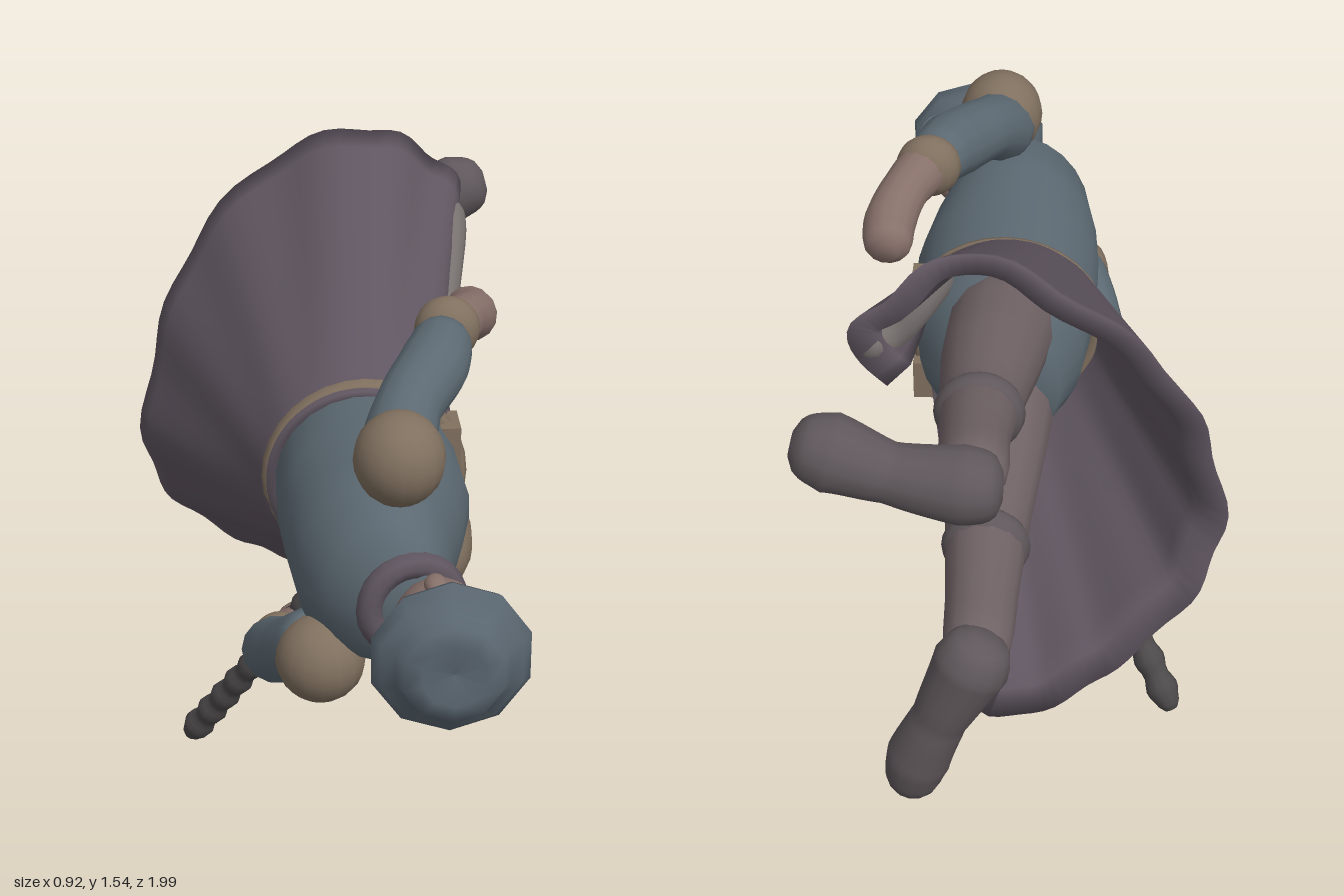
import * as THREE from 'three';

const V = (a) => new THREE.Vector3(...a);
const COL = { coat: 0x5f5560, lapel: 0x77716f, shirt: 0x5c6972, tan: 0x80705f, skin: 0x87706a, trouser: 0x6f6265, boot: 0x5f575b, stick: 0x4d4a4b, hat: 0x5a6670 };

// Closed skin over a list of equal-length rings, capped at both ends, turned outward.
function skin(rings, fanCaps = true) {
  const n = rings[0].length, pos = [], idx = [];
  rings.forEach((r) => r.forEach((p) => pos.push(p.x, p.y, p.z)));
  for (let i = 0; i < rings.length - 1; i++) for (let j = 0; j < n; j++) {
    const a = i * n + j, b = i * n + (j + 1) % n;
    idx.push(a, b, a + n, b, b + n, a + n);
  }
  [0, rings.length - 1].forEach((k, end) => {
    const o = k * n;
    if (fanCaps) {
      const c = rings[k].reduce((s, p) => s.add(p), new THREE.Vector3()).divideScalar(n);
      const ci = pos.push(c.x, c.y, c.z) / 3 - 1;
      for (let j = 0; j < n; j++) {
        const a = o + j, b = o + (j + 1) % n;
        end ? idx.push(a, b, ci) : idx.push(b, a, ci);
      }
    } else {
      // strip cap between an outer run and the reversed inner run
      for (let j = 0; j < n / 2 - 1; j++) {
        const a = o + j, b = a + 1, c = o + n - 1 - j, d = c - 1;
        end ? idx.push(a, b, c, b, d, c) : idx.push(b, a, c, d, b, c);
      }
    }
  });
  // signed volume decides the winding
  let vol = 0;
  const P = (i) => new THREE.Vector3(pos[3 * i], pos[3 * i + 1], pos[3 * i + 2]);
  for (let i = 0; i < idx.length; i += 3) vol += P(idx[i]).dot(P(idx[i + 1]).cross(P(idx[i + 2])));
  if (vol < 0) for (let i = 0; i < idx.length; i += 3) [idx[i], idx[i + 1]] = [idx[i + 1], idx[i]];
  const g = new THREE.BufferGeometry();
  g.setAttribute('position', new THREE.Float32BufferAttribute(pos, 3));
  g.setIndex(idx);
  g.computeVertexNormals();
  return g;
}

// Rounded limb through [x, y, z, radius] stations.
function limb(st, { steps = 8, sides = 14, bump = 0, bumps = 0 } = {}) {
  const curve = new THREE.CatmullRomCurve3(st.map((s) => V(s.slice(0, 3))));
  const N = (st.length - 1) * steps, f = curve.computeFrenetFrames(N), rings = [];
  for (let i = 0; i <= N; i++) {
    const u = curve.getUtoTmapping(i / N) * (st.length - 1);
    const k = Math.min(Math.floor(u), st.length - 2);
    let r = THREE.MathUtils.lerp(st[k][3], st[k + 1][3], u - k);
    r *= 1 + bump * Math.sin((i / N) * bumps * Math.PI * 2);
    const e = Math.min(i, N - i) / 3;
    if (e < 1) r *= 0.45 + 0.55 * Math.sqrt(1 - (1 - e) ** 2);
    const c = curve.getPointAt(i / N);
    rings.push(Array.from({ length: sides }, (_, j) => {
      const a = (j / sides) * Math.PI * 2;
      return c.clone().addScaledVector(f.normals[i], r * Math.cos(a)).addScaledVector(f.binormals[i], r * Math.sin(a));
    }));
  }
  return skin(rings);
}

// Elliptical sections stacked along z: [z, cx, cy, rx, ry], leaning by tilt.
function stack(secs, tilt = 0, sides = 24) {
  return skin(secs.map(([z, cx, cy, rx, ry]) => Array.from({ length: sides }, (_, j) => {
    const a = (j / sides) * Math.PI * 2, p = new THREE.Vector2(rx * Math.cos(a), ry * Math.sin(a));
    p.rotateAround(new THREE.Vector2(), tilt);
    return new THREE.Vector3(cx + p.x, cy + p.y, z);
  })));
}

// Flared long coat skirt, open at the front (+x), with thick edges.
function coatSkirt() {
  const hem = new THREE.CatmullRomCurve3([
    [0.28, 1.25, -0.6], [0.36, 1.38, -0.62], [0.27, 1.49, -0.61], [0.12, 1.57, -0.56], [-0.09, 1.5, -0.6],
    [-0.3, 1.3, -0.57], [-0.41, 1.05, -0.51], [-0.45, 0.78, -0.48], [-0.38, 0.6, -0.52], [-0.22, 0.45, -0.58],
    [-0.08, 0.36, -0.62], [0.07, 0.34, -0.64], [0.12, 0.46, -0.6]].map(V));
  const M = 72, rings = [];
  for (let i = 0; i <= 14; i++) {
    const t = i / 14, outer = [];
    for (let j = 0; j <= M; j++) {
      const u = j / M, a = THREE.MathUtils.degToRad(15 + 320 * u);
      const w = new THREE.Vector3(0.06 + 0.22 * Math.cos(a), 0.94 + 0.22 * Math.sin(a), 0.1);
      const p = w.lerp(hem.getPoint(u), t);
      const fold = 0.008 * t * Math.sin(u * Math.PI * 22);
      outer.push(p.add(new THREE.Vector3(Math.cos(a) * fold, Math.sin(a) * fold, 0)));
    }
    const th = 0.03 + 0.035 * t;
    const inner = outer.map((p, j) => {
      const d = outer[Math.min(j + 2, M)].clone().sub(outer[Math.max(j - 2, 0)]).setZ(0).normalize();
      return new THREE.Vector3(p.x - d.y * th, p.y + d.x * th, p.z + 0.02 * t);
    });
    rings.push([...outer, ...inner.reverse()]);
  }
  return skin(rings, false);
}

export function createModel() {
  const model = new THREE.Group();
  const add = (name, geo, color, p, s, r) => {
    const m = new THREE.Mesh(geo, new THREE.MeshStandardMaterial({ color }));
    m.name = name;
    if (p) m.position.set(...p);
    if (s) m.scale.set(...s);
    if (r) m.rotation.set(...r);
    model.add(m);
    return m;
  };
  const ball = () => new THREE.SphereGeometry(1, 16, 12);

  // body, lying along z with the chest towards +x
  add('torso', stack([
    [0.7, 0.11, 0.92, 0.08, 0.09], [0.64, 0.07, 0.93, 0.13, 0.17], [0.55, 0.05, 0.94, 0.17, 0.22], [0.42, 0.06, 0.95, 0.2, 0.21],
    [0.28, 0.07, 0.95, 0.22, 0.2], [0.1, 0.07, 0.94, 0.215, 0.21], [-0.06, 0.07, 0.94, 0.19, 0.21], [-0.16, 0.05, 0.94, 0.12, 0.17]], -0.12), COL.shirt);
  add('vestPanel', ball(), COL.tan, [0.2, 0.86, 0.24], [0.1, 0.11, 0.2]);
  add('belt', new THREE.TorusGeometry(0.215, 0.025, 8, 32), COL.tan, [0.065, 0.94, 0.07]);
  for (const y of [0.8, 1.02]) add('beltPouch', new THREE.BoxGeometry(0.07, 0.1, 0.1), COL.tan, [0.25, y, 0.07]);
  add('collar', new THREE.TorusGeometry(0.095, 0.03, 8, 24), COL.coat, [0.12, 0.92, 0.68], null, [0, 0.2, 0]);

  // coat
  add('coatSkirt', coatSkirt(), COL.coat);
  add('coatLapel', limb([[0.2, 1.08, 0.08, 0.035], [0.27, 1.2, -0.28, 0.045], [0.32, 1.36, -0.6, 0.06]]), COL.lapel);

  // head and face
  add('head', ball(), COL.skin, [0.17, 0.92, 0.78], [0.1, 0.1, 0.12]);
  add('nose', ball(), COL.skin, [0.275, 0.92, 0.78], [0.025, 0.02, 0.035]);
  add('chin', ball(), COL.skin, [0.23, 0.92, 0.71], [0.045, 0.055, 0.035]);
  for (const s of [-1, 1]) {
    add('ear', ball(), COL.skin, [0.16, 0.92 + s * 0.1, 0.78], [0.025, 0.02, 0.035]);
    add('eye', ball(), COL.boot, [0.255, 0.92 + s * 0.04, 0.815], [0.015, 0.02, 0.012]);
  }

  // faceted hat with brim and peak
  const hat = new THREE.LatheGeometry([[0, 0.83], [0.11, 0.83], [0.12, 0.88], [0.165, 0.89], [0.175, 0.915], [0.155, 0.94], [0.125, 0.955], [0.11, 0.99], [0.07, 1], [0, 0.985]]
    .map(([r, y]) => new THREE.Vector2(r, y)), 10);
  add('hat', hat, COL.hat, [0.18, 0.92, 0], [1, 1, 1], [Math.PI / 2, 0, 0]);
  add('hatPeak', ball(), COL.hat, [0.29, 0.91, 0.885], [0.06, 0.1, 0.025], [0, 0.3, 0]);

  // raised arm
  add('leftShoulderPad', ball(), COL.tan, [0.1, 1.215, 0.57], [0.1, 0.105, 0.105]);
  add('leftArm', limb([[0.09, 1.18, 0.56, 0.09], [0.13, 1.26, 0.42, 0.075], [0.2, 1.3, 0.28, 0.08], [0.24, 1.33, 0.16, 0.065]]), COL.shirt);
  add('leftCuff', ball(), COL.tan, [0.245, 1.33, 0.14], [0.075, 0.075, 0.06]);
  add('leftForearm', limb([[0.24, 1.33, 0.16, 0.065], [0.29, 1.32, 0.06, 0.055], [0.32, 1.29, -0.03, 0.06], [0.32, 1.27, -0.13, 0.055]]), COL.skin);

  // lowered arm
  add('rightShoulderPad', ball(), COL.tan, [-0.07, 0.74, 0.58], [0.1, 0.1, 0.1]);
  add('rightArm', limb([[-0.06, 0.78, 0.58, 0.09], [-0.13, 0.69, 0.45, 0.075], [-0.16, 0.6, 0.29, 0.075], [-0.14, 0.55, 0.15, 0.06]]), COL.shirt);
  add('rightCuff', ball(), COL.tan, [-0.14, 0.55, 0.15], [0.065, 0.065, 0.06]);
  add('rightForearm', limb([[-0.15, 0.56, 0.18, 0.06], [-0.12, 0.52, 0.07, 0.055], [-0.08, 0.49, 0, 0.065], [-0.1, 0.48, -0.08, 0.05]]), COL.skin);

  // knobbly stick in the lower hand
  add('stick', limb([[0, 0.72, 0.1, 0.03], [-0.08, 0.55, 0.02, 0.035], [-0.15, 0.42, -0.06, 0.03], [-0.25, 0.23, -0.17, 0.033], [-0.355, 0.035, -0.28, 0.036]],
    { steps: 14, sides: 10, bump: 0.13, bumps: 11 }), COL.stick);

  // legs and boots
  add('leftLeg', limb([[0.06, 1.02, 0, 0.13], [0.08, 1.07, -0.25, 0.115], [0.09, 1.12, -0.48, 0.09], [0.09, 1.19, -0.7, 0.075], [0.08, 1.24, -0.9, 0.075]]), COL.trouser);
  add('leftBootCuff', ball(), COL.boot, [0.09, 1.14, -0.54], [0.1, 0.1, 0.06]);
  add('leftFoot', limb([[0.02, 1.23, -0.9, 0.07], [0.1, 1.235, -0.905, 0.085], [0.25, 1.25, -0.89, 0.065], [0.37, 1.29, -0.88, 0.085], [0.45, 1.31, -0.88, 0.06]]), COL.boot);
  add('rightLeg', limb([[0.06, 0.87, 0, 0.13], [0.07, 0.82, -0.25, 0.115], [0.08, 0.77, -0.48, 0.095], [0.08, 0.755, -0.7, 0.08], [0.08, 0.75, -0.9, 0.075]]), COL.trouser);
  add('rightBootCuff', ball(), COL.boot, [0.08, 0.765, -0.54], [0.1, 0.1, 0.06]);
  add('rightFoot', limb([[0.06, 0.82, -0.9, 0.065], [0.09, 0.75, -0.91, 0.085], [0.16, 0.6, -0.92, 0.062], [0.21, 0.47, -0.91, 0.072], [0.23, 0.37, -0.9, 0.055]]), COL.boot);

  return model;
}
